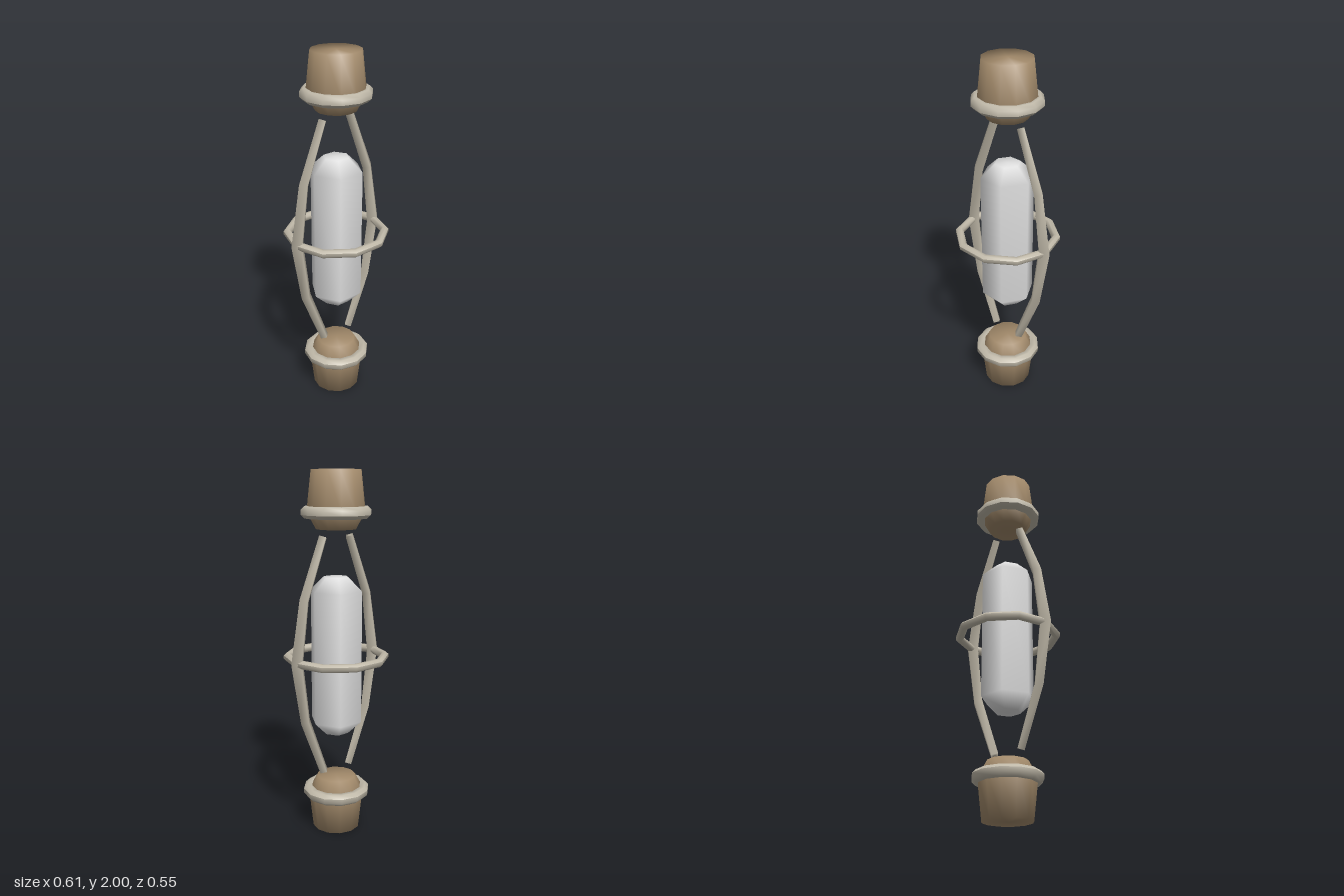
import * as THREE from 'three';
import { mergeVertices } from 'three/addons/utils/BufferGeometryUtils.js';

const mat = (name, color) => {
  const m = new THREE.MeshStandardMaterial({ color });
  m.name = name;
  return m;
};

// Turned solid with a corner on the x axis
function turned(profile, sides) {
  const pts = profile.map(([x, y]) => new THREE.Vector2(x, y));
  return new THREE.LatheGeometry(pts, sides, Math.PI / 2);
}

// Faceted hoop with an eight-sided section
function hoop(radius, thickness, sides) {
  const section = [];
  for (let i = 0; i <= 8; i++) {
    const a = ((i + 0.5) / 8) * Math.PI * 2;
    section.push([radius + thickness * Math.cos(a), thickness * Math.sin(a)]);
  }
  return turned(section, sides);
}

// Bowed four-sided rod, thickest in the middle
function ribGeometry() {
  const path = [[0.09, 0.35], [0.216, 0.672], [0.266, 1.004], [0.216, 1.336], [0.09, 1.658]];
  const radii = [0.026, 0.031, 0.039, 0.031, 0.026];
  const geo = new THREE.CylinderGeometry(1, 1, 1, 4, 4);
  const pos = geo.attributes.position;
  for (let v = 0; v < pos.count; v++) {
    const i = Math.round((pos.getY(v) + 0.5) * 4);
    const a = path[Math.max(i - 1, 0)];
    const b = path[Math.min(i + 1, 4)];
    const len = Math.hypot(b[0] - a[0], b[1] - a[1]);
    const across = pos.getX(v) * radii[i];
    pos.setXYZ(v,
      path[i][0] + across * (b[1] - a[1]) / len,
      path[i][1] - across * (b[0] - a[0]) / len,
      pos.getZ(v) * radii[i]);
  }
  geo.deleteAttribute('uv');
  geo.deleteAttribute('normal');
  const smooth = mergeVertices(geo);
  smooth.computeVertexNormals();
  return smooth;
}

export function createModel() {
  const root = new THREE.Group();
  root.name = 'cagedLantern';
  const wood = mat('brown', 0xa1896a);
  const stone = mat('warm grey', 0xbfb8a8);
  const white = mat('pale grey', 0xe0e0e0);

  const add = (parent, name, geo, material) => {
    const mesh = new THREE.Mesh(geo, material);
    mesh.name = name;
    parent.add(mesh);
    return mesh;
  };

  // Matching end caps, each with a collar
  const capGeo = turned([[0, 0], [0.133, 0], [0.157, 0.215], [0.108, 0.305], [0, 0.305]], 12);
  const collarGeo = hoop(0.156, 0.034, 12);
  for (const top of [false, true]) {
    const end = new THREE.Group();
    end.name = top ? 'topEnd' : 'bottomEnd';
    add(end, 'cap', capGeo, wood);
    add(end, 'collar', collarGeo, stone).position.y = 0.218;
    if (top) {
      end.rotation.x = Math.PI;
      end.position.y = 2;
    }
    root.add(end);
  }

  // Hexagonal core with bevelled ends
  add(root, 'core', turned([[0, 0.565], [0.07, 0.565], [0.147, 0.64],
    [0.147, 1.37], [0.07, 1.443], [0, 1.443]], 6), white);

  // Cage: two ribs and the waist hoop
  const rib = ribGeometry();
  add(root, 'leftRib', rib, stone);
  add(root, 'rightRib', rib, stone).rotation.y = Math.PI;
  add(root, 'waistHoop', hoop(0.267, 0.023, 10), stone).position.y = 1.004;

  return root;
}
